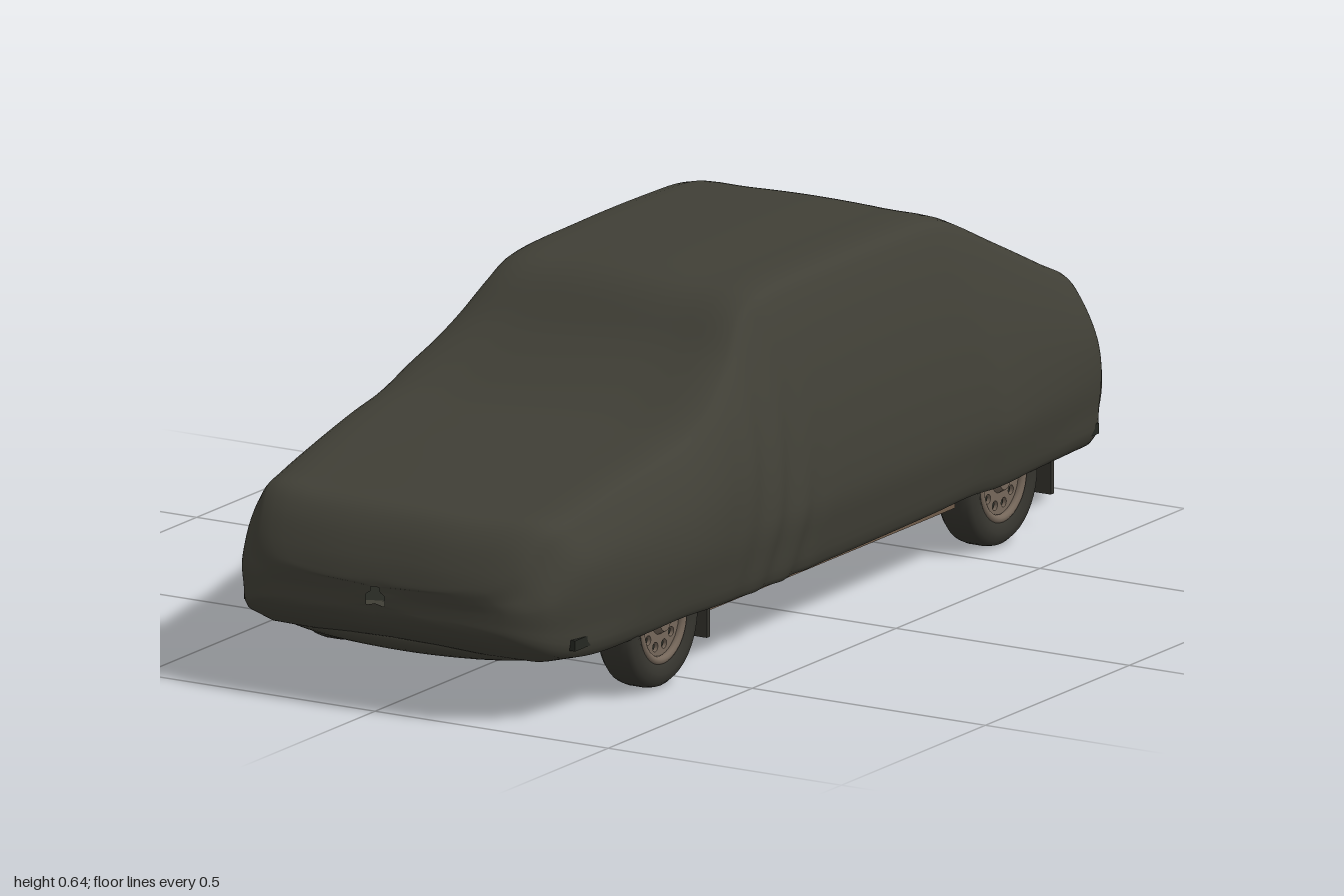
import * as THREE from 'three';

const mat = (name, color, side = THREE.FrontSide) => {
  const m = new THREE.MeshStandardMaterial({ color, side });
  m.name = name;
  return m;
};

// Loft stations along the car: z, top height, waist half width, shoulder half width, hem height
const STATIONS = [
  [1.0, 0.235, 0.02, 0.01, 0.2],
  [0.998, 0.25, 0.26, 0.24, 0.175],
  [0.985, 0.285, 0.32, 0.29, 0.15],
  [0.955, 0.335, 0.345, 0.31, 0.128],
  [0.92, 0.364, 0.358, 0.325, 0.118],
  [0.85, 0.378, 0.37, 0.335, 0.112],
  [0.7, 0.405, 0.388, 0.343, 0.118],
  [0.55, 0.428, 0.4, 0.35, 0.125],
  [0.44, 0.448, 0.398, 0.348, 0.12],
  [0.34, 0.488, 0.394, 0.338, 0.116],
  [0.25, 0.54, 0.392, 0.312, 0.114],
  [0.16, 0.612, 0.39, 0.284, 0.114],
  [0.1, 0.634, 0.39, 0.284, 0.115],
  [-0.15, 0.643, 0.39, 0.286, 0.117],
  [-0.36, 0.642, 0.39, 0.286, 0.12],
  [-0.48, 0.637, 0.392, 0.285, 0.124],
  [-0.55, 0.621, 0.402, 0.287, 0.124],
  [-0.7, 0.548, 0.388, 0.3, 0.122],
  [-0.85, 0.472, 0.372, 0.312, 0.118],
  [-0.935, 0.428, 0.36, 0.314, 0.116],
  [-0.965, 0.385, 0.345, 0.306, 0.12],
  [-0.985, 0.29, 0.33, 0.3, 0.13],
  [-0.998, 0.21, 0.29, 0.27, 0.15],
  [-1.0, 0.185, 0.02, 0.01, 0.17],
];

// One full cross-section, from the right hem over the roof to the left hem
function section([z, yt, w, t, yb]) {
  const h = yt - yb, waist = Math.min(0.25, yb + h * 0.5);
  const ys = yt - Math.min(0.034, h * 0.25), hem = Math.abs(z) > 0.84 ? 0 : 0.88;
  const half = [
    [hem * w, yb + 0.004], [0.94 * w, yb], [0.985 * w, (yb + waist) / 2], [w, waist],
    [(w + t) / 2 + Math.min(0.018, h * 0.04), (waist + ys) / 2],
    [t, ys], [t * 0.91, yt - h * 0.02], [t * 0.5, yt - h * 0.007],
  ];
  const full = [...half.map(([x, y]) => [-x, y]), [0, yt], ...half.slice().reverse()];
  const curve = new THREE.CatmullRomCurve3(full.map(([x, y]) => {
    const bow = z > 0.5 ? -0.05 * (x / 0.33) ** 4 * Math.min(1, (z - 0.5) / 0.4) : 0;
    return new THREE.Vector3(x, y, z + bow);
  }));
  return curve.getPoints(64);
}

// Fabric cover: smooth curves through matching points of every section
function coverGeometry() {
  const rings = STATIONS.map(section), cols = rings[0].length, rows = 140;
  const pos = [], idx = [];
  const curves = rings[0].map((_, j) => new THREE.CatmullRomCurve3(rings.map(r => r[j])));
  for (let i = 0; i <= rows; i++) {
    for (let j = 0; j < cols; j++) {
      const p = curves[j].getPoint(i / rows);
      // soft vertical folds hanging below the windscreen corners
      const fold = Math.exp(-(((p.z - 0.2) / 0.13) ** 2)) * Math.min(1, Math.max(0, (0.58 - p.y) * 5));
      if (Math.abs(p.x) > 0.29) p.x *= 1 + 0.011 * fold * Math.sin(p.z * 62 + p.y * 22);
      pos.push(p.x, p.y, p.z);
      if (i < rows && j < cols - 1) {
        const a = i * cols + j, b = a + cols;
        idx.push(a, a + 1, b, a + 1, b + 1, b);
      }
    }
  }
  const g = new THREE.BufferGeometry();
  g.setAttribute('position', new THREE.Float32BufferAttribute(pos, 3));
  g.setIndex(idx);
  g.computeVertexNormals();
  return g;
}

export function createModel() {
  const cover = mat('cover cloth', 0x403f36, THREE.DoubleSide);
  const rubber = mat('tyre rubber', 0x35342e);
  const alloy = mat('wheel metal', 0x75675a);
  const floorMat = mat('underbody', 0x262822);
  const frame = mat('chassis metal', 0x33362f);
  const rust = mat('rusty exhaust', 0x6b4030);
  const patch = mat('rust patch', 0x43281f);
  const sillMat = mat('sill paint', 0x6e5b4a);

  const car = new THREE.Group();
  car.name = 'coveredCar';
  const add = (name, geo, m, x = 0, y = 0, z = 0, parent = car) => {
    const mesh = new THREE.Mesh(geo, m);
    mesh.name = name;
    mesh.position.set(x, y, z);
    parent.add(mesh);
    return mesh;
  };
  const box = (name, m, w, h, d, x, y, z) => add(name, new THREE.BoxGeometry(w, h, d), m, x, y, z);
  const pipe = (name, m, r, pts, tension = 0.15) => add(name, new THREE.TubeGeometry(
    new THREE.CatmullRomCurve3(pts.map(p => new THREE.Vector3(...p)), false, 'catmullrom', tension), 48, r, 10), m);

  add('cover', coverGeometry(), cover);

  // Rounded lip under the nose
  add('frontValance', new THREE.SphereGeometry(1, 32, 16), cover, 0, 0.122, 0.85).scale.set(0.31, 0.037, 0.09);

  // Floor with wheel-arch notches
  box('floorPan', floorMat, 0.52, 0.02, 1.84, 0, 0.145, -0.02);
  for (const s of [-1, 1]) {
    for (const [d, z] of [[0.88, -0.01], [0.16, 0.8], [0.18, -0.85]])
      box('floorSide', floorMat, 0.1, 0.02, d, s * 0.305, 0.145, z);
    box('sill', sillMat, 0.02, 0.025, 0.86, s * 0.345, 0.12, -0.01);
    box('chassisRail', frame, 0.035, 0.025, 1.5, s * 0.235, 0.125, 0.0);
    for (const z of [0.58, -0.6]) box('innerArch', floorMat, 0.01, 0.13, 0.29, s * 0.262, 0.21, z);
    // Ribs and rusty panels pressed into the floor
    for (const x of [0.09, 0.16]) box('floorRib', frame, 0.02, 0.012, 0.42, s * x, 0.132, 0.08);
    for (const [x, z] of [[0.13, -0.44], [0.29, 0.22]])
      box('rustPatch', patch, 0.08, 0.006, 0.13, s * x, 0.132, z);
  }
  for (const z of [0.76, 0.38, -0.3, -0.76]) box('crossMember', frame, 0.46, 0.025, 0.04, 0, 0.125, z);
  box('engineSump', frame, 0.16, 0.04, 0.2, 0, 0.118, 0.62);
  box('gearboxTunnel', frame, 0.09, 0.03, 0.3, 0, 0.128, 0.36);

  // Suspension
  pipe('rearAxle', frame, 0.016, [[-0.3, 0.125, -0.6], [0.3, 0.125, -0.6]]);
  pipe('frontTieRod', frame, 0.009, [[-0.3, 0.11, 0.52], [0.3, 0.11, 0.52]]);
  for (const s of [-1, 1]) {
    pipe('rearTrailingArm', frame, 0.012, [[s * 0.2, 0.125, -0.32], [s * 0.26, 0.115, -0.6]]);
    pipe('frontArm', frame, 0.013, [[s * 0.12, 0.12, 0.6], [s * 0.3, 0.11, 0.58]]);
    pipe('frontArmBrace', frame, 0.01, [[s * 0.2, 0.12, 0.4], [s * 0.29, 0.11, 0.58]]);
    const damper = add('rearDamper', new THREE.CylinderGeometry(0.016, 0.016, 0.13, 12), frame, s * 0.23, 0.16, -0.64);
    damper.rotation.x = -0.3;
  }

  // Exhaust with two silencers
  pipe('exhaustPipe', rust, 0.012, [
    [0.1, 0.14, 0.68], [0.15, 0.115, 0.62], [0.13, 0.108, 0.52], [0.02, 0.106, 0.24], [0.01, 0.106, 0.0],
    [0.01, 0.11, -0.26], [0.13, 0.112, -0.4], [0.155, 0.125, -0.5], [0.165, 0.15, -0.6], [0.175, 0.13, -0.75],
    [0.18, 0.125, -0.95]]);
  for (const [x, y, z, l, r] of [[0.015, 0.108, 0.12, 0.19, 0.034], [0.175, 0.13, -0.84, 0.16, 0.036]]) {
    const can = add('silencer', new THREE.CylinderGeometry(r, r, l, 20), rust, x, y, z);
    can.rotation.x = Math.PI / 2;
    can.scale.z = 0.6;
  }

  // Wheels: lathed tyre, slotted disc, hub
  const tyreGeo = new THREE.LatheGeometry([
    [0.08, -0.034], [0.098, -0.04], [0.114, -0.037], [0.122, -0.028], [0.125, -0.015], [0.125, 0.015],
    [0.122, 0.028], [0.114, 0.037], [0.098, 0.04], [0.08, 0.034], [0.076, 0.02], [0.076, -0.02], [0.08, -0.034],
  ].map(p => new THREE.Vector2(...p)), 40);
  const disc = new THREE.Shape().absarc(0, 0, 0.068, 0, Math.PI * 2);
  for (let i = 0; i < 10; i++) {
    const a = (i / 10) * Math.PI * 2;
    disc.holes.push(new THREE.Path().absarc(Math.cos(a) * 0.049, Math.sin(a) * 0.049, 0.009, 0, Math.PI * 2, true));
  }
  const discGeo = new THREE.ExtrudeGeometry(disc, { depth: 0.008, bevelEnabled: false, curveSegments: 20 });
  const lipGeo = new THREE.TorusGeometry(0.073, 0.008, 10, 40);
  for (const s of [-1, 1]) {
    for (const z of [0.58, -0.6]) {
      const wheel = new THREE.Group();
      wheel.name = 'wheel';
      wheel.position.set(s * 0.325, 0.125, z);
      wheel.rotation.y = s * Math.PI / 2;
      car.add(wheel);
      add('tyre', tyreGeo, rubber, 0, 0, 0, wheel).rotation.x = Math.PI / 2;
      add('rimDisc', discGeo, alloy, 0, 0, 0.018, wheel);
      for (const lz of [-0.03, 0.03]) add('rimLip', lipGeo, alloy, 0, 0, lz, wheel);
      add('brakeDrum', new THREE.CylinderGeometry(0.07, 0.07, 0.035, 32), frame, 0, 0, -0.004, wheel).rotation.x = Math.PI / 2;
      add('hubCap', new THREE.CylinderGeometry(0.018, 0.026, 0.014, 20), alloy, 0, 0, 0.032, wheel).rotation.x = Math.PI / 2;
      // Mud flap behind each wheel
      box('mudFlap', rubber, 0.12, 0.09, 0.012, s * 0.3, 0.105, z - (z > 0 ? 0.155 : 0.17));
    }
  }
  return car;
}
